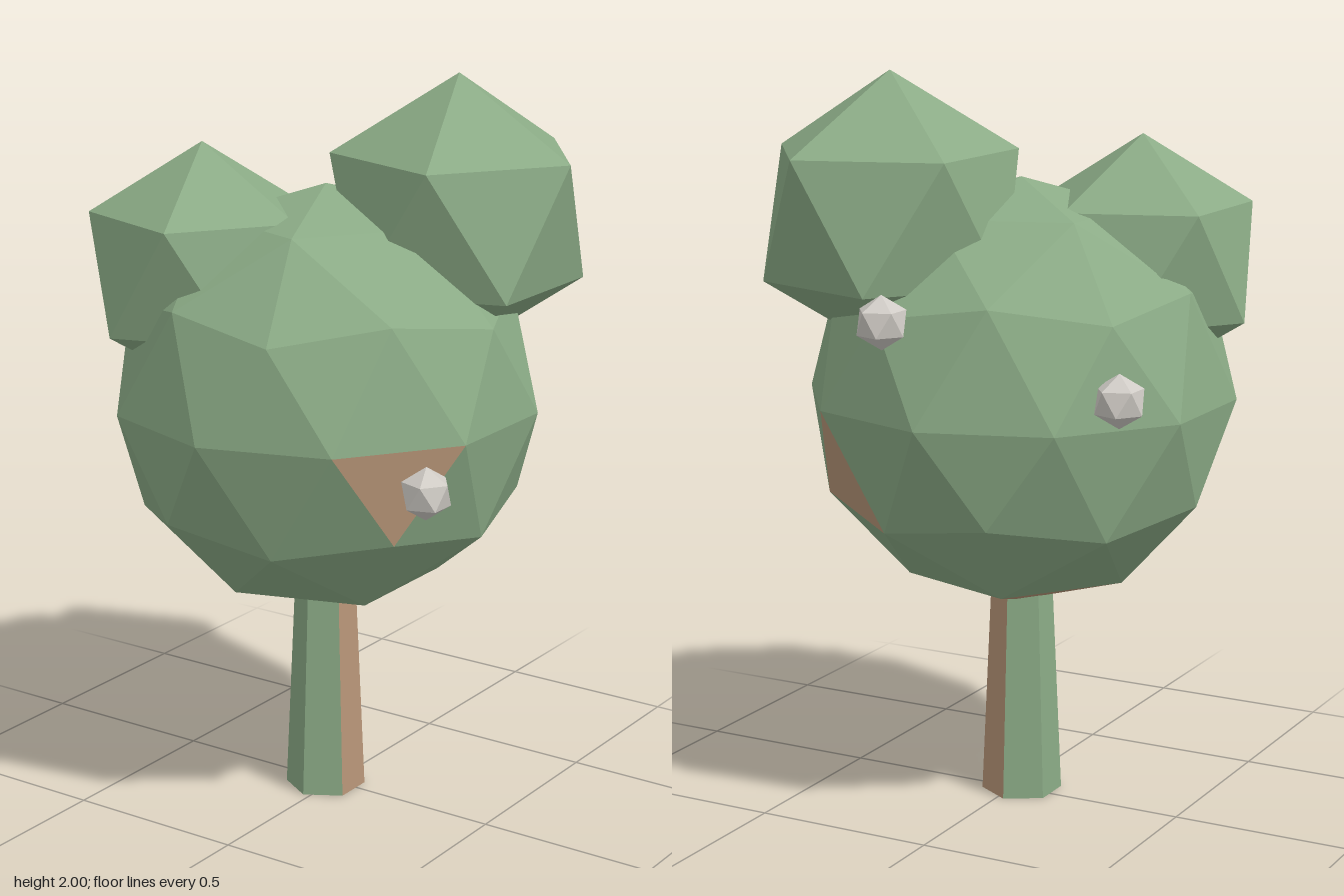
import * as THREE from 'three';

const green = new THREE.MeshStandardMaterial({ name: 'leafGreen', color: 0x8bab86 });
const brown = new THREE.MeshStandardMaterial({ name: 'barkBrown', color: 0xb89678 });
const grey = new THREE.MeshStandardMaterial({ name: 'paleGrey', color: 0xd0ccc6 });

// Faceted ball with a corner at each pole and an upper corner towards +x
function facetedBall(radius, detail) {
  const geometry = new THREE.IcosahedronGeometry(radius, detail);
  geometry.rotateZ(-Math.atan(2 / (1 + Math.sqrt(5))));
  geometry.computeVertexNormals();
  return geometry;
}

function direction(azimuth, elevation) {
  const a = THREE.MathUtils.degToRad(azimuth);
  const e = THREE.MathUtils.degToRad(elevation);
  return new THREE.Vector3(Math.cos(e) * Math.cos(a), Math.sin(e), Math.cos(e) * Math.sin(a));
}

// Give the face nearest to each direction the second material
function paintFaces(geometry, directions) {
  const pos = geometry.attributes.position;
  const centres = [];
  for (let i = 0; i < pos.count; i += 3) {
    const c = new THREE.Vector3();
    for (let k = 0; k < 3; k++) c.add(new THREE.Vector3().fromBufferAttribute(pos, i + k));
    centres.push(c.normalize());
  }
  const painted = new Set();
  for (const d of directions) {
    let best = 0;
    centres.forEach((c, i) => { if (c.dot(d) > centres[best].dot(d)) best = i; });
    painted.add(best);
  }
  geometry.clearGroups();
  centres.forEach((c, i) => geometry.addGroup(i * 3, 3, painted.has(i) ? 1 : 0));
}

export function createModel() {
  const model = new THREE.Group();
  model.name = 'tree';

  function add(name, geometry, material, x, y, z) {
    const mesh = new THREE.Mesh(geometry, material);
    mesh.name = name;
    mesh.position.set(x, y, z);
    model.add(mesh);
  }

  // Six-sided tapering trunk with two bare bark sides
  const trunk = new THREE.CylinderGeometry(0.082, 0.11, 0.64, 6).toNonIndexed();
  trunk.computeVertexNormals();
  trunk.clearGroups();
  trunk.addGroup(0, 6, 0);
  trunk.addGroup(6, 12, 1);
  trunk.addGroup(18, 54, 0);
  add('trunk', trunk, [green, brown], -0.02, 0.32, 0.013);

  // Main crown with a few brown facets
  const crown = facetedBall(0.583, 1);
  paintFaces(crown, [
    direction(36, -9.5),
    direction(-54, -20),
    direction(162, -20),
    direction(-72, -72.5),
    direction(144, -72.5),
    direction(-144, -72.5),
  ]);
  add('crown', crown, [green, brown], -0.02, 1.13, 0.008);

  // Smaller leaf clumps on top
  add('largeLeafClump', facetedBall(0.38, 0), green, 0.25, 1.62, -0.215);
  add('smallLeafClump', facetedBall(0.337, 0), green, -0.29, 1.487, 0.19);

  // Pale fruit on the crown
  const fruit = [[0.477, 1.017, 0.283], [0.09, 1.395, -0.537], [-0.478, 1.21, -0.332]];
  fruit.forEach(([x, y, z], i) => add(`fruit${i + 1}`, facetedBall(0.071, 0), grey, x, y, z));

  return model;
}
